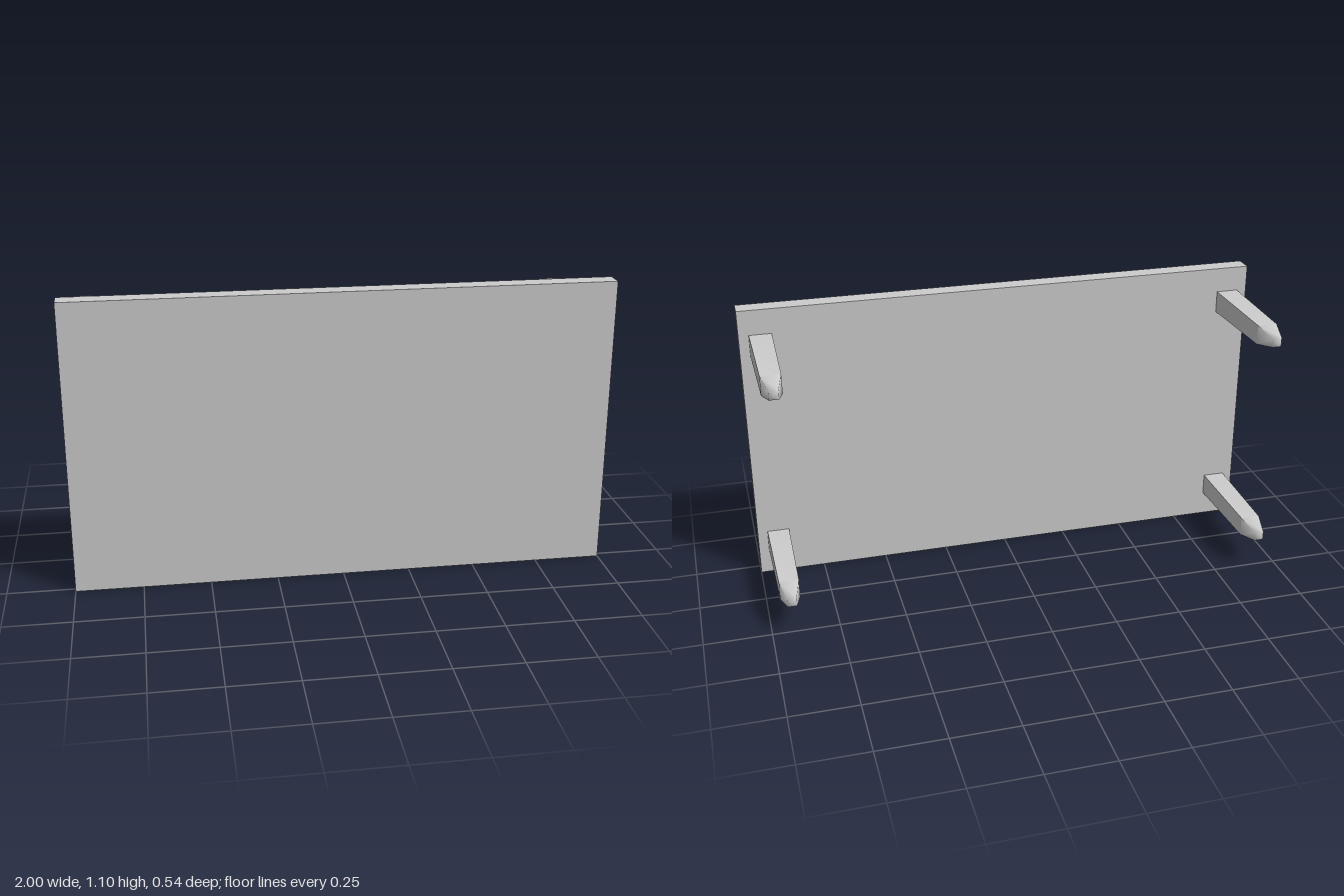
import * as THREE from 'three';
import { toCreasedNormals } from 'three/addons/utils/BufferGeometryUtils.js';

// Square tapered leg pointing to -z; profile is [half width, distance behind z = 0]
function legGeometry() {
  const profile = [[0, -0.2], [0.042, -0.2], [0.037, 0.18], [0.0175, 0.27], [0, 0.27]]
    .map(([half, d]) => new THREE.Vector2(half * Math.SQRT2, d));
  const geometry = new THREE.LatheGeometry(profile, 4, Math.PI / 4);
  geometry.rotateX(-Math.PI / 2);
  // shaft corners stay sharp, the narrowing tip is shaded round
  return toCreasedNormals(geometry, THREE.MathUtils.degToRad(88.5));
}

export function createModel() {
  const model = new THREE.Group();
  model.name = 'table';
  const material = new THREE.MeshStandardMaterial({ color: 0xcccccc });

  // Table top, standing on its long edge
  const top = new THREE.Mesh(new THREE.BoxGeometry(2, 1.1, 0.07), material);
  top.name = 'tableTop';
  top.position.set(0, 0.55, 0.235);
  model.add(top);

  // Four legs near the corners
  const geometry = legGeometry();
  for (const [side, x] of [['left', 0.92], ['right', -0.92]]) {
    for (const [level, y] of [['Upper', 0.962], ['Lower', 0.139]]) {
      const leg = new THREE.Mesh(geometry, material);
      leg.name = `${side}${level}Leg`;
      leg.position.set(x, y, 0);
      model.add(leg);
    }
  }
  return model;
}
